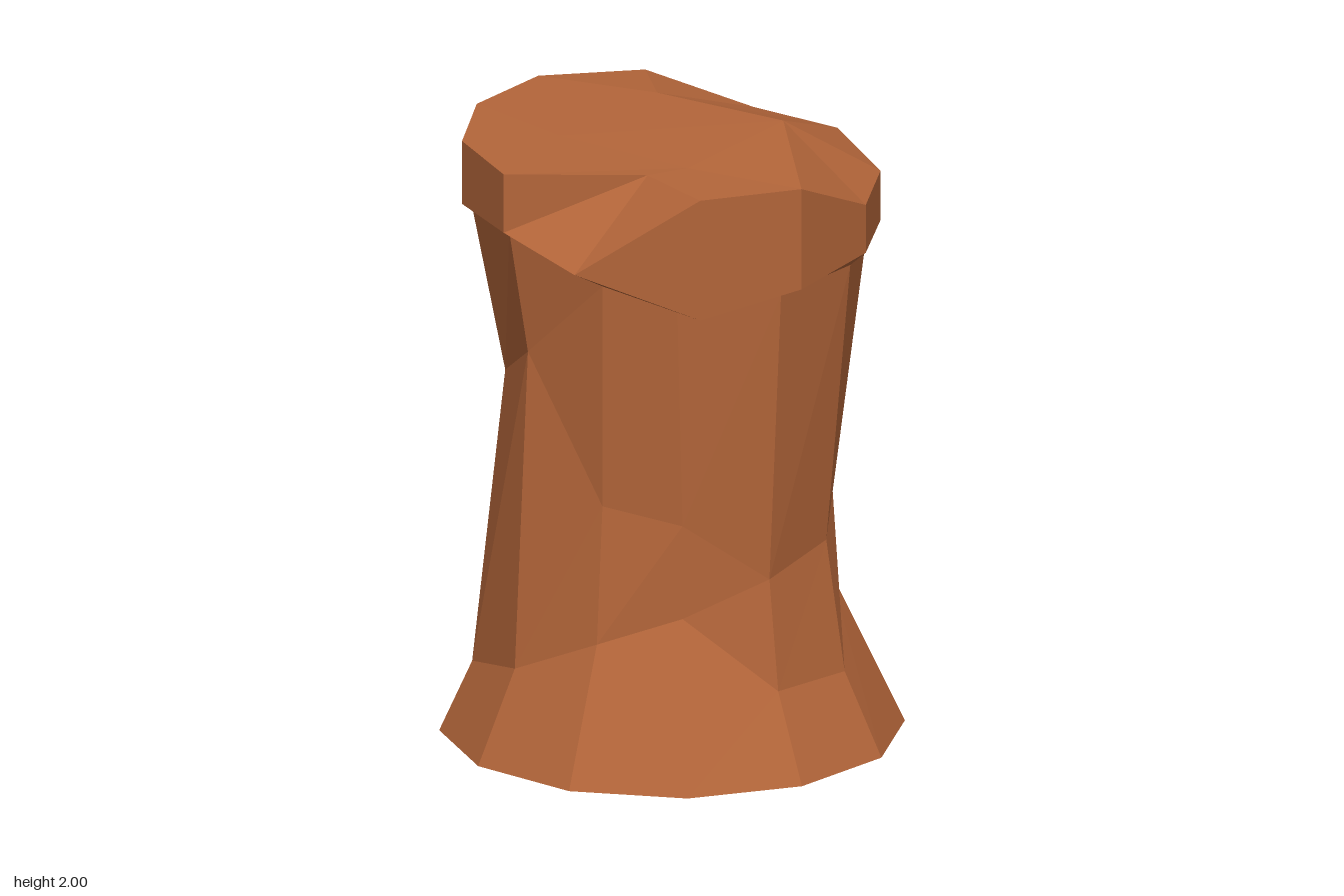
import * as THREE from 'three';

const SIDES = 12;

// Ring from a radius and a height per side, angles running from +x towards +z
const polarRing = (radii, heights) => radii.map((r, k) => {
  const a = (k / SIDES) * Math.PI * 2;
  return [r * Math.cos(a), heights[k], r * Math.sin(a)];
});

// Ring from plan points [x, z] and a height per point
const planRing = (plan, heights) => plan.map(([x, z], k) => [x, heights[k], z]);

// Flat-faced skin through a stack of rings, with optional extra triangles
function loft(rings, extra = []) {
  const pos = [];
  const same = (p, q) => p.every((v, i) => v === q[i]);
  const tri = (a, b, c) => {
    if (!same(a, b) && !same(b, c) && !same(a, c)) pos.push(...a, ...b, ...c);
  };
  for (let i = 0; i < rings.length - 1; i++) {
    const lo = rings[i], up = rings[i + 1];
    for (let k = 0; k < SIDES; k++) {
      const n = (k + 1) % SIDES;
      tri(lo[k], up[k], lo[n]);
      tri(up[k], up[n], lo[n]);
    }
  }
  extra.forEach((t) => tri(...t));
  const geo = new THREE.BufferGeometry();
  geo.setAttribute('position', new THREE.Float32BufferAttribute(pos, 3));
  geo.computeVertexNormals();
  return geo;
}

export function createModel() {
  const group = new THREE.Group();
  group.name = 'rockPillar';
  const clay = new THREE.MeshStandardMaterial({ color: 0xb4663a, side: THREE.DoubleSide, flatShading: true });
  clay.name = 'redClay';

  // Shaft: flared foot, narrow waist, widening neck; open underneath
  const foot = polarRing(Array(SIDES).fill(0.74), Array(SIDES).fill(0));
  const flare = polarRing(
    [0.61, 0.605, 0.5, 0.54, 0.6, 0.635, 0.59, 0.5, 0.6, 0.55, 0.5, 0.5],
    [0.27, 0.28, 0.52, 0.43, 0.3, 0.23, 0.33, 0.51, 0.26, 0.41, 0.51, 0.51]);
  const waist = polarRing(
    [0.545, 0.555, 0.5, 0.5, 0.55, 0.53, 0.48, 0.48, 0.5, 0.48, 0.475, 0.5],
    [0.7, 0.64, 0.83, 0.88, 1.35, 1.2, 1.18, 1.24, 1.29, 1.28, 1.18, 0.94]);
  const neck = planRing(
    [[0.63, 0], [0.54, 0.315], [0.25, 0.47], [0.02, 0.54], [-0.32, 0.52], [-0.54, 0.34],
      [-0.63, 0.02], [-0.58, -0.28], [-0.34, -0.52], [-0.02, -0.6], [0.27, -0.55], [0.53, -0.32]],
    [1.63, 1.61, 1.56, 1.63, 1.76, 1.76, 1.78, 1.77, 1.77, 1.66, 1.54, 1.62]);
  const shaft = new THREE.Mesh(loft([foot, flare, waist, neck]), clay);
  shaft.name = 'shaft';

  // Capstone: overhanging slab with an uneven rim and one chipped front corner
  const rim = [[0.66, -0.05], [0.6, 0.29], [0.37, 0.55], [-0.03, 0.64], [-0.3, 0.6], [-0.56, 0.37],
    [-0.67, 0.04], [-0.62, -0.3], [-0.37, -0.56], [-0.04, -0.67], [0.29, -0.6], [0.55, -0.38]];
  const chipped = rim.map((p, k) => (k === 3 ? [0.12, 0.42] : p));
  const capBottom = planRing(rim,
    [1.66, 1.63, 1.57, 1.69, 1.78, 1.77, 1.8, 1.79, 1.79, 1.69, 1.58, 1.655]);
  const capEdge = planRing(chipped,
    [1.82, 1.965, 1.97, 1.98, 1.975, 1.98, 1.99, 1.99, 1.97, 1.86, 1.86, 1.82]);

  // Four crown points shared by the rim make the faceted top
  const A = [-0.2, 1.995, -0.3], B = [0.29, 2, -0.21], C = [0.2, 1.98, 0.3], D = [-0.3, 1.985, 0.2];
  const crown = [B, C, C, C, D, D, D, A, A, A, B, B];
  const cap = new THREE.Mesh(
    loft([neck, capBottom, capEdge, crown], [[A, D, B], [B, D, C]]), clay);
  cap.name = 'capstone';

  group.add(shaft, cap);
  return group;
}
